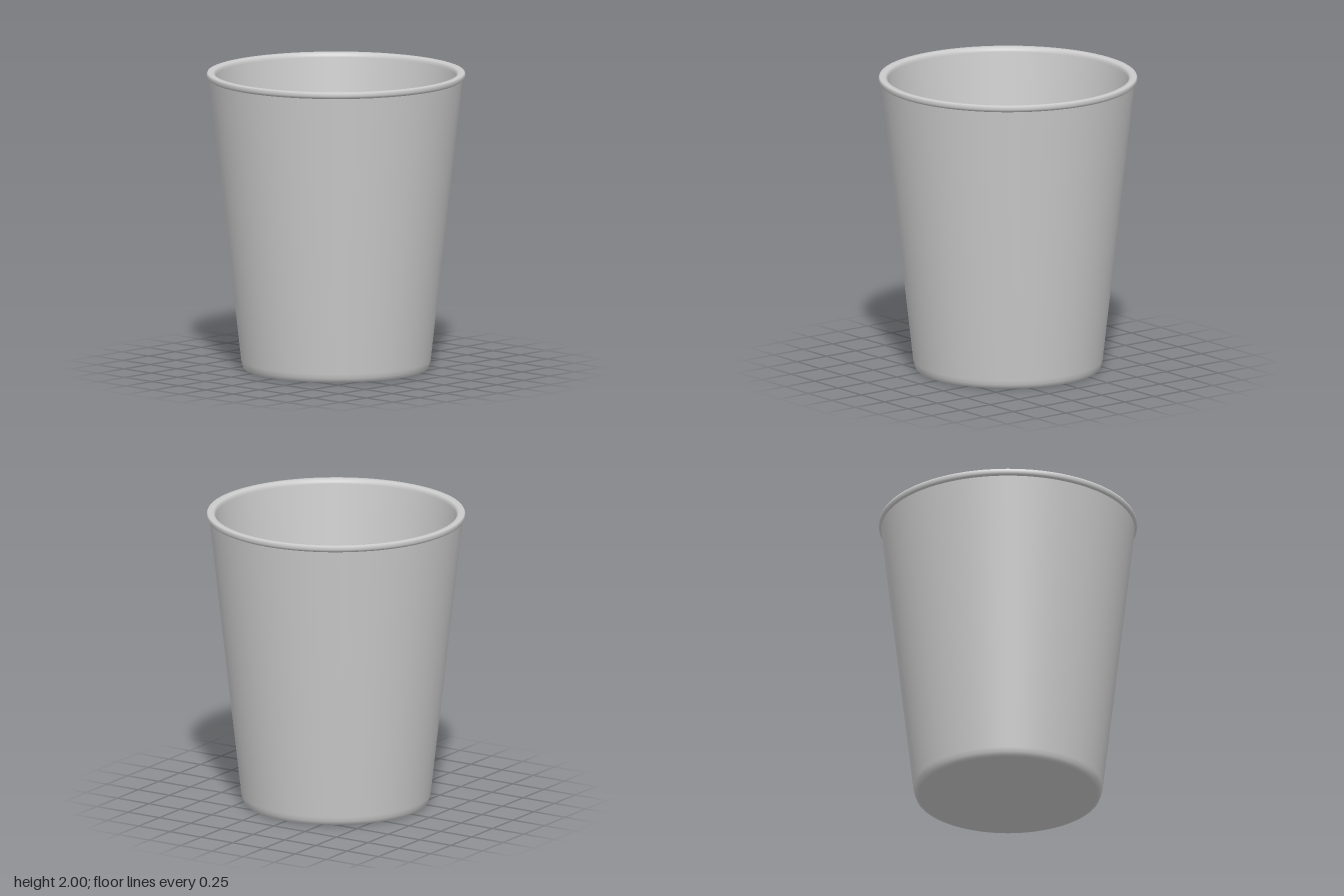
import * as THREE from 'three';

const SEGMENTS = 96;

// Revolves a [radius, height] profile around the y axis
function revolve(name, profile) {
  const points = profile.map(([r, y]) => new THREE.Vector2(r, y));
  const material = new THREE.MeshStandardMaterial({ color: 0xcccccc });
  const mesh = new THREE.Mesh(new THREE.LatheGeometry(points, SEGMENTS), material);
  mesh.name = name;
  return mesh;
}

export function createModel() {
  const cup = new THREE.Group();
  cup.name = 'cup';

  cup.add(
    // Underside, chamfered foot and tapering outer wall
    revolve('outerWall', [[0, 0], [0.595, 0], [0.615, 0.005], [0.625, 0.03], [0.632, 0.06], [0.845, 1.955]]),
    // Rolled lip that overhangs the wall
    revolve('rim', [
      [0.845, 1.955], [0.856, 1.962], [0.862, 1.973], [0.862, 1.99], [0.857, 2],
      [0.835, 2], [0.815, 1.997], [0.806, 1.985], [0.804, 1.97],
    ]),
    // Tapering inside wall and flat floor
    revolve('innerWall', [[0.804, 1.97], [0.592, 0.065], [0.585, 0.045], [0.57, 0.04], [0, 0.04]]),
  );
  return cup;
}
